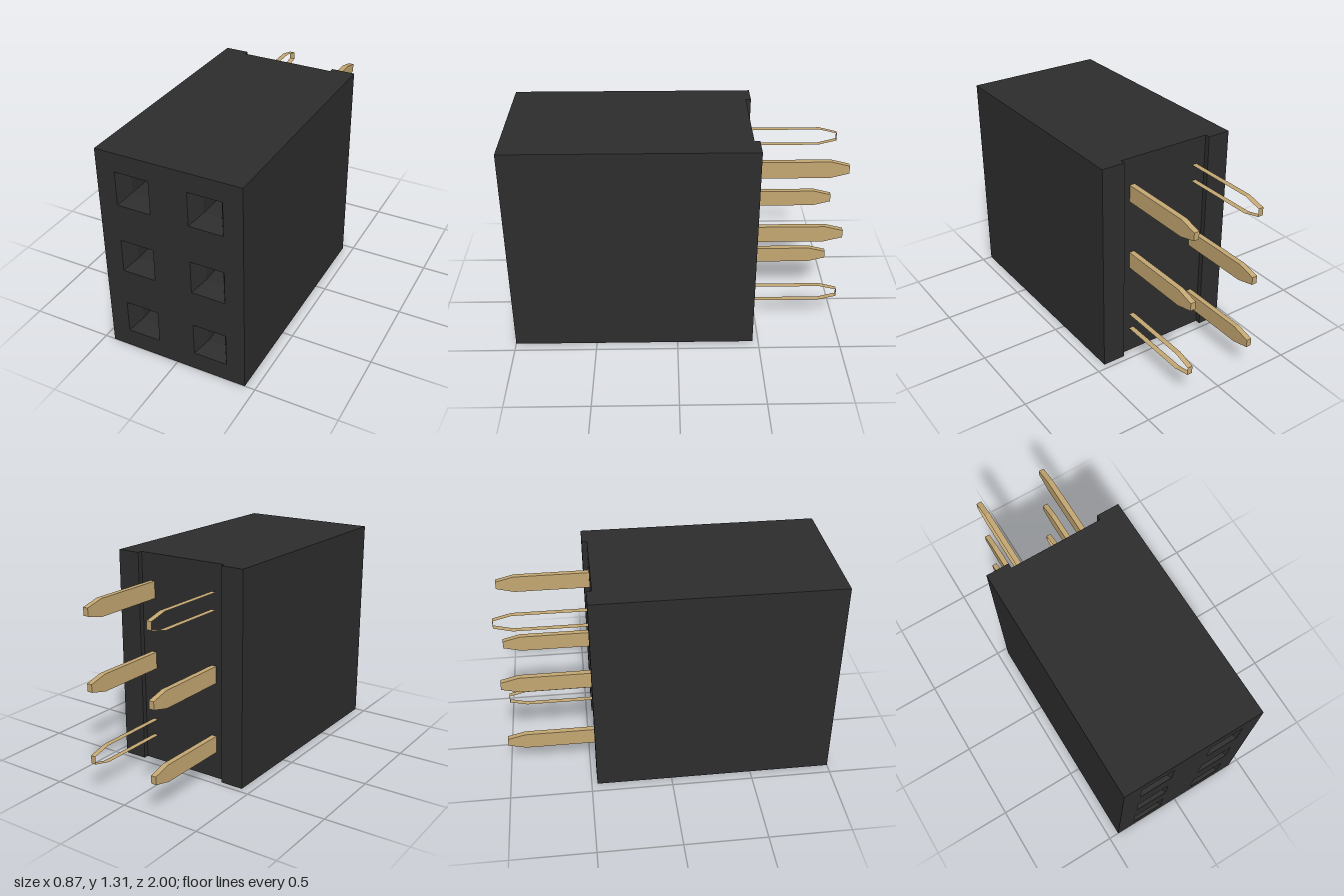
import * as THREE from 'three';

const W = 0.4365, H = 1.31, FRONT = 1, BACK = -0.465, RECESS = -0.433;
const PITCH = 0.437, COL = PITCH / 2;
const OUTER = 0.103, INNER = 0.054, FUNNEL = 0.08, FLOOR = 0;

// Keep only the triangles whose face normal passes the test
function keepFaces(geometry, test) {
  const g = geometry.index ? geometry.toNonIndexed() : geometry;
  const p = g.attributes.position, kept = [];
  const t = new THREE.Triangle(), n = new THREE.Vector3();
  for (let i = 0; i < p.count; i += 3) {
    t.setFromAttributeAndIndices(p, i, i + 1, i + 2);
    t.getNormal(n);
    if (test(n)) kept.push(...t.a.toArray(), ...t.b.toArray(), ...t.c.toArray());
  }
  const out = new THREE.BufferGeometry();
  out.setAttribute('position', new THREE.Float32BufferAttribute(kept, 3));
  out.computeVertexNormals();
  return out;
}

const polygon = (pts) => new THREE.Shape(pts.map(([x, y]) => new THREE.Vector2(x, y)));

// Open square tube along z, from half-width a at the front to b at the back
function squareTube(a, b, zFront, zBack) {
  const g = new THREE.CylinderGeometry(a * Math.SQRT2, b * Math.SQRT2, zFront - zBack, 4, 1, true, Math.PI / 4);
  g.rotateX(Math.PI / 2);
  g.translate(0, 0, (zFront + zBack) / 2);
  return g;
}

// Flat pin with a tapered solder end; hollow pins keep only their narrow edges
function pinGeometry(hollow) {
  const h = 0.052, t = 0.033, inner = -FLOOR - 0.08;
  const shape = polygon([
    [inner, -h + 0.01], [inner + 0.03, -h], [0.89, -h], [1, -0.024],
    [1, 0.024], [0.89, h], [inner + 0.03, h], [inner, h - 0.01],
  ]);
  const g = new THREE.ExtrudeGeometry(shape, { depth: t, bevelEnabled: false });
  g.rotateY(Math.PI / 2);
  g.translate(-t / 2, 0, 0);
  return hollow ? keepFaces(g, (n) => Math.abs(n.x) < 0.5) : g;
}

export function createModel() {
  const model = new THREE.Group();
  model.name = 'socketHeader';
  const plastic = new THREE.MeshStandardMaterial({ name: 'black plastic', color: 0x2d2d2d, flatShading: true, side: THREE.DoubleSide });
  const brass = new THREE.MeshStandardMaterial({ name: 'brass', color: 0xc4a772, flatShading: true, side: THREE.DoubleSide });

  const add = (parent, name, geometry, material) => {
    const mesh = new THREE.Mesh(geometry, material);
    mesh.name = name;
    parent.add(mesh);
    return mesh;
  };

  // Housing walls with the shallow channel down the back, left open in front
  const plan = polygon([
    [-W, -FRONT], [W, -FRONT], [W, -BACK], [0.293, -BACK],
    [0.293, -RECESS], [-0.293, -RECESS], [-0.293, -BACK], [-W, -BACK],
  ]);
  const walls = new THREE.ExtrudeGeometry(plan, { depth: H, bevelEnabled: false });
  walls.rotateX(-Math.PI / 2);
  add(model, 'housing', keepFaces(walls, (n) => n.z < 0.5), plastic);

  // Front face, pierced by the sockets
  const face = polygon([[-W, 0], [W, 0], [W, H], [-W, H]]);

  for (const side of [-1, 1]) {
    for (let row = 0; row < 3; row++) {
      const x = side * COL, y = PITCH * (row + 0.5);
      face.holes.push(polygon([
        [x - OUTER, y - OUTER], [x - OUTER, y + OUTER],
        [x + OUTER, y + OUTER], [x + OUTER, y - OUTER],
      ]));

      const contact = new THREE.Group();
      contact.name = 'contact';
      contact.position.set(x, y, 0);
      model.add(contact);

      // Socket: funnel mouth, straight tunnel and its floor
      add(contact, 'socketFunnel', squareTube(OUTER, INNER, FRONT, FRONT - FUNNEL), plastic);
      add(contact, 'socketTunnel', squareTube(INNER, INNER, FRONT - FUNNEL, FLOOR), plastic);
      add(contact, 'socketFloor', new THREE.PlaneGeometry(INNER * 2, INNER * 2), plastic).position.z = FLOOR;

      // Two opposite corner pins are open at the sides
      const hollow = (side > 0 && row === 0) || (side < 0 && row === 2);
      add(contact, 'pin', pinGeometry(hollow), brass);
    }
  }

  add(model, 'frontFace', new THREE.ShapeGeometry(face), plastic).position.z = FRONT;
  return model;
}
